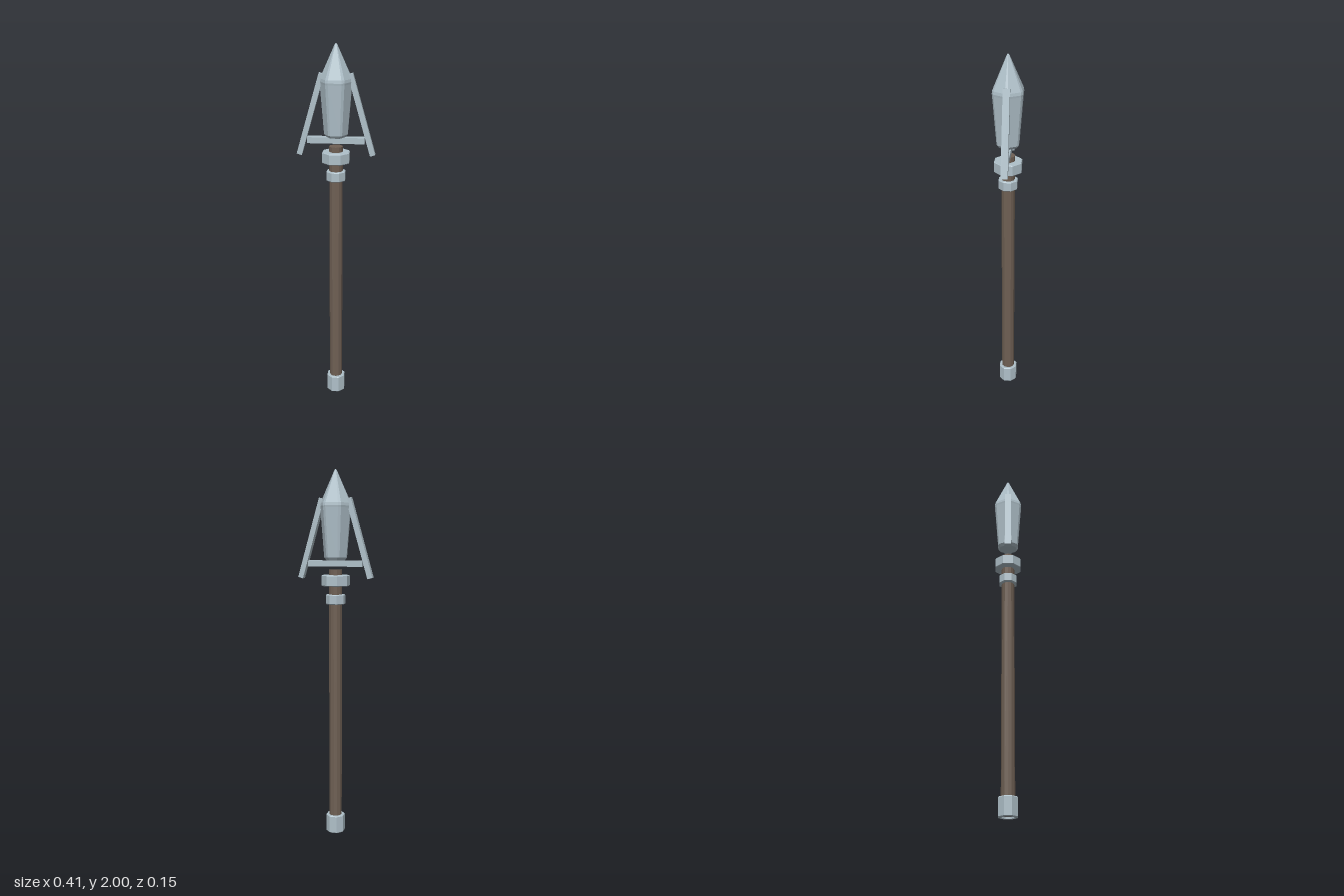
import * as THREE from 'three';

const steel = new THREE.MeshStandardMaterial({ color: 0xafc0c9 });
steel.name = 'steel';
const wood = new THREE.MeshStandardMaterial({ color: 0x6f6054 });
wood.name = 'wood';

// Facets a geometry so every side reads as flat
function faceted(geometry) {
  const flat = geometry.toNonIndexed();
  flat.computeVertexNormals();
  return flat;
}

function addMesh(parent, name, geometry, material) {
  const mesh = new THREE.Mesh(geometry, material);
  mesh.name = name;
  parent.add(mesh);
  return mesh;
}

// Hollow eight-sided band with a slight bevel, flat side to the front
function bandGeometry(apothem, bottom, top) {
  const r = apothem / Math.cos(Math.PI / 8);
  const inner = 0.034;
  const b = 0.004;
  const profile = [
    [inner, bottom], [r - b, bottom], [r, bottom + b],
    [r, top - b], [r - b, top], [inner, top], [inner, bottom],
  ].map(([x, y]) => new THREE.Vector2(x, y));
  return faceted(new THREE.LatheGeometry(profile, 8, Math.PI / 8));
}

// Six-sided blade whose corners are narrow bevels
function bladeGeometry() {
  const profile = [
    [0, 1.525], [0.05, 1.525], [0.062, 1.54], [0.083, 1.8],
    [0.0845, 1.81], [0.082, 1.825], [0.007, 1.992], [0, 2],
  ].map(([x, y]) => new THREE.Vector2(x, y));
  const geometry = new THREE.LatheGeometry(profile, 12, Math.PI / 12);
  const pos = geometry.attributes.position;
  const sector = Math.PI / 3;
  for (let i = 0; i < pos.count; i++) {
    const x = pos.getX(i);
    const z = pos.getZ(i);
    const r = Math.hypot(x, z);
    const angle = Math.atan2(z, x);
    const corner = Math.round(angle / sector) * sector;
    const a = corner + Math.sign(angle - corner) * 0.1;
    pos.setXYZ(i, r * Math.cos(a), pos.getY(i), r * Math.sin(a));
  }
  return faceted(geometry);
}

export function createModel() {
  const model = new THREE.Group();
  model.name = 'spear';

  // Wooden shaft
  const shaft = addMesh(model, 'shaft',
    faceted(new THREE.CylinderGeometry(0.036, 0.036, 1.465, 12)), wood);
  shaft.position.y = 0.01 + 1.465 / 2;

  // Metal bands
  addMesh(model, 'buttCap', bandGeometry(0.049, 0, 0.1), steel);
  addMesh(model, 'lowerCollar', bandGeometry(0.049, 1.29, 1.343), steel);
  addMesh(model, 'upperCollar', bandGeometry(0.071, 1.388, 1.447), steel);

  // Spear head with swept barbs and a cross bar
  const head = new THREE.Group();
  head.name = 'head';
  model.add(head);
  addMesh(head, 'blade', bladeGeometry(), steel);
  for (const side of [1, -1]) {
    const barb = addMesh(head, side > 0 ? 'leftBarb' : 'rightBarb',
      new THREE.BoxGeometry(0.028, 0.435, 0.035), steel);
    barb.position.set(side * 0.133, 1.64, 0);
    barb.rotation.z = side * 0.278;
  }
  const bar = addMesh(head, 'crossBar', new THREE.BoxGeometry(0.3, 0.032, 0.039), steel);
  bar.position.y = 1.508;

  return model;
}
